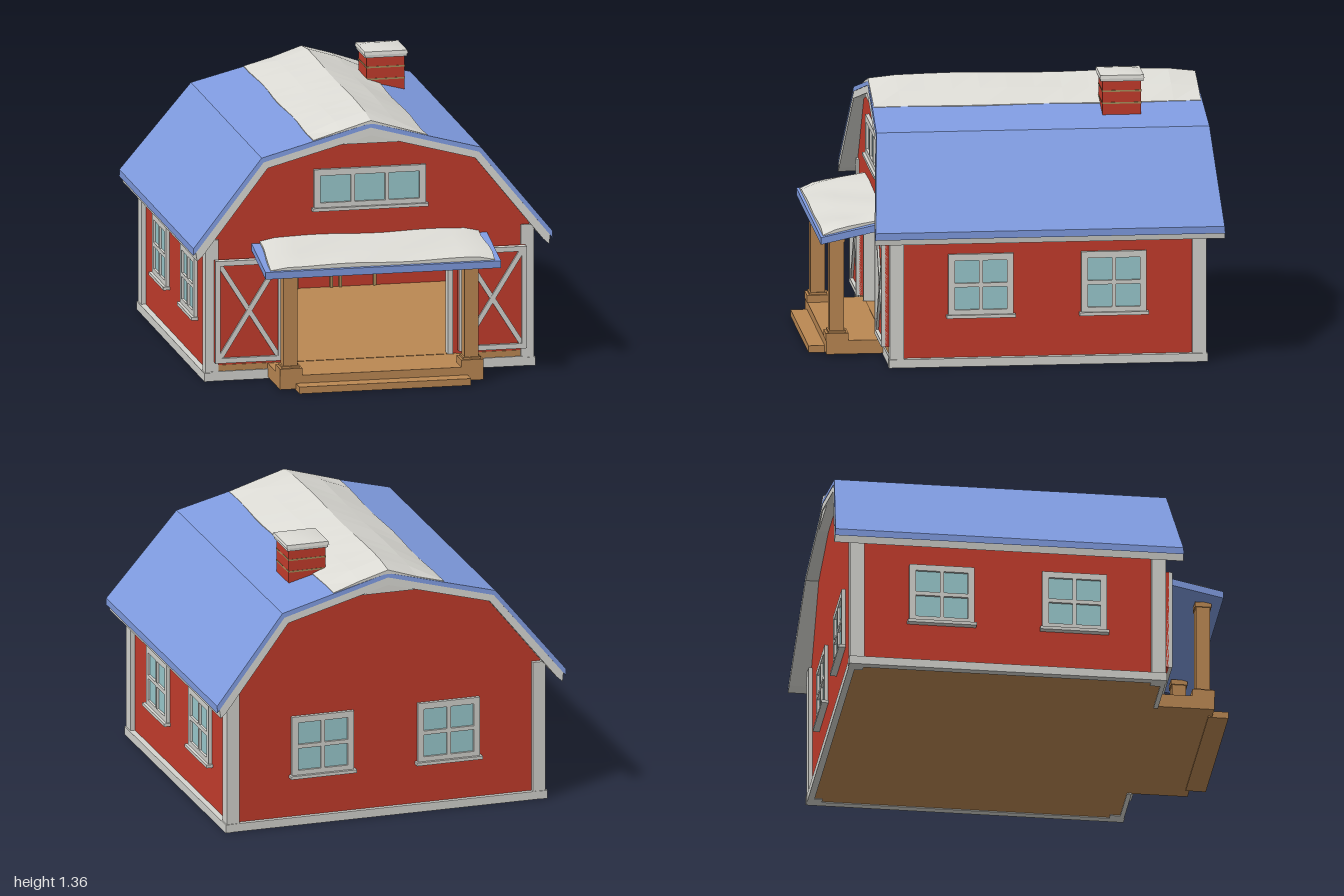
import * as THREE from 'three';

const mat = (name, color) => {
  const m = new THREE.MeshStandardMaterial({ color });
  m.name = name;
  return m;
};

export function createModel() {
  const red = mat('barn red', 0xc43c2c);
  const white = mat('trim white', 0xd4d4cf);
  const blue = mat('roof blue', 0x7f9be0);
  const snow = mat('snow', 0xdcdbd5);
  const wood = mat('wood', 0xbb8853);
  const glass = mat('window glass', 0x9acace);
  const mortar = mat('mortar', 0xa98f5c);

  const model = new THREE.Group();
  model.name = 'barn';

  const add = (name, geo, material, parent = model) => {
    const mesh = new THREE.Mesh(geo, material);
    mesh.name = name;
    parent.add(mesh);
    return mesh;
  };
  // Box given by its min and max on each axis
  const box = (name, m, x0, x1, y0, y1, z0, z1, parent = model) => {
    const mesh = add(name, new THREE.BoxGeometry(x1 - x0, y1 - y0, z1 - z0), m, parent);
    mesh.position.set((x0 + x1) / 2, (y0 + y1) / 2, (z0 + z1) / 2);
    return mesh;
  };
  const shapeOf = (pts) => new THREE.Shape(pts.map(([x, y]) => new THREE.Vector2(x, y)));
  const rect = (x0, x1, y0, y1) => shapeOf([[x0, y0], [x1, y0], [x1, y1], [x0, y1]]);
  const extrude = (shape, depth, steps = 1) =>
    new THREE.ExtrudeGeometry(shape, { depth, steps, bevelEnabled: false });
  const mirror = (pts) => pts.map(([x, y]) => [-x, y]).reverse();
  const eachVertex = (geo, fn) => {
    const p = geo.attributes.position, v = new THREE.Vector3();
    for (let i = 0; i < p.count; i++) {
      fn(v.fromBufferAttribute(p, i));
      p.setXYZ(i, v.x, v.y, v.z);
    }
    geo.computeVertexNormals();
    return geo;
  };

  // Floor and walls
  box('floorBase', wood, -0.8, 0.8, 0.005, 0.04, -0.9, 0.63);
  box('floor', wood, -0.76, 0.76, 0.04, 0.078, -0.87, 0.634);
  const half = [[0.8, 0.04], [0.8, 0.72], [0.52, 1.075]];
  const gable = () => shapeOf([...half, [0, 1.215], ...mirror(half)]);
  const frontShape = gable();
  frontShape.holes.push(rect(-0.4, 0.4, 0.07, 0.575));
  add('frontWall', extrude(frontShape, 0.03), red).position.z = 0.6;
  add('backWall', extrude(gable(), 0.03), red).position.z = -0.9;
  for (const s of [1, -1]) {
    box('sideWall', red, s * 0.785 - 0.015, s * 0.785 + 0.015, 0.04, 0.7, -0.87, 0.6);
    // Corner boards and base boards
    for (const [z0, z1] of [[0.57, 0.64], [-0.92, -0.85]]) {
      box('cornerBoard', white, s * 0.79 - 0.033, s * 0.79 + 0.033, 0, 0.71, z0, z1);
    }
    box('sideBaseBoard', white, s * 0.81 - 0.02, s * 0.81 + 0.02, 0, 0.042, -0.925, 0.645);
    box('frontBaseBoard', white, s * 0.65 - 0.15, s * 0.65 + 0.15, 0, 0.048, 0.62, 0.642);
    box('doorJamb', white, s * 0.403 - 0.012, s * 0.403 + 0.012, 0.078, 0.575, 0.59, 0.645);
  }
  box('backBaseBoard', white, -0.8, 0.8, 0, 0.042, -0.922, -0.89);
  box('doorHeader', white, -0.415, 0.415, 0.572, 0.597, 0.59, 0.645);

  // Window with a grid of panes, seen from both faces of its wall
  const makeWindow = (name, w, h, cols, rows, x, y, z, turn) => {
    const g = new THREE.Group();
    g.name = name;
    const border = 0.032, bar = 0.02;
    const pw = (w - 2 * border - (cols - 1) * bar) / cols;
    const ph = (h - 2 * border - (rows - 1) * bar) / rows;
    const frame = rect(-w / 2, w / 2, -h / 2, h / 2);
    for (let i = 0; i < cols; i++) for (let j = 0; j < rows; j++) {
      const px = -w / 2 + border + i * (pw + bar), py = -h / 2 + border + j * (ph + bar);
      frame.holes.push(rect(px, px + pw, py, py + ph));
    }
    add('windowFrame', extrude(frame, 0.066), white, g).position.z = -0.033;
    box('windowGlass', glass, -w / 2 + 0.02, w / 2 - 0.02, -h / 2 + 0.02, h / 2 - 0.02, -0.021, 0.021, g);
    box('windowSill', white, -w / 2 - 0.01, w / 2 + 0.01, -h / 2 - 0.008, -h / 2 + 0.008, 0, 0.048, g);
    g.position.set(x, y, z);
    g.rotation.y = turn;
    model.add(g);
  };
  for (const s of [1, -1]) {
    for (const z of [0.19, -0.465]) makeWindow('sideWindow', 0.32, 0.31, 2, 2, s * 0.785, 0.405, z, s * Math.PI / 2);
    makeWindow('backWindow', 0.32, 0.31, 2, 2, s * 0.325, 0.405, -0.885, Math.PI);
  }
  makeWindow('gableWindow', 0.56, 0.2, 3, 1, 0, 0.94, 0.615, 0);

  // Open barn doors with crossed braces
  for (const s of [1, -1]) {
    const door = new THREE.Group();
    door.name = 'barnDoor';
    const w = 0.17, h = 0.257, t = 0.025;
    box('doorPanel', red, -w, w, -h, h, -0.012, 0.008, door);
    const frame = rect(-w, w, -h, h);
    frame.holes.push(rect(-w + t, w - t, -h + t, h - t));
    add('doorFrame', extrude(frame, 0.03), white, door).position.z = -0.005;
    const a = Math.atan2(h - t, w - t), len = 2 * Math.hypot(w - t, h - t);
    for (const d of [1, -1]) {
      const brace = add('doorBrace', new THREE.BoxGeometry(len, 0.024, 0.014), white, door);
      brace.position.z = 0.012 + d * 0.001;
      brace.rotation.z = d * a;
    }
    door.position.set(s * 0.61, 0.353, 0.652);
    model.add(door);
  }

  // Gambrel roof, with gable ends raked outward towards the eaves
  const midZ = -0.1425;
  const reach = (y) => (y > 1.12 ? 0.82 - (y - 1.12) * 0.1 : 0.82 + (1.12 - y) * 0.091);
  const roofLayer = (name, m, right, grow) => {
    const [outer, inner] = right;
    const pts = [...outer, ...mirror(outer).slice(1), ...mirror(inner), ...inner.slice(0, -1).reverse()];
    // The outline runs up and over the outside, then back along the underside
    const loop = [...outer.slice(0, -1), outer.at(-1), ...outer.slice(0, -1).reverse().map(([x, y]) => [-x, y]),
      ...inner.slice(0, -1).map(([x, y]) => [-x, y]), inner.at(-1), ...inner.slice(0, -1).reverse()];
    const geo = extrude(shapeOf(pts.length ? loop : pts), 1);
    add(name, eachVertex(geo, (v) => { v.z = midZ + (v.z > 0.5 ? 1 : -1) * (reach(v.y) + grow); }), m);
  };
  roofLayer('roofShingles', blue, [
    [[0.9, 0.69], [0.55, 1.12], [0, 1.265]],
    [[0.9, 0.655], [0.883, 0.676], [0.54, 1.098], [0, 1.243]]], 0);
  roofLayer('roofTrim', white, [
    [[0.888, 0.67], [0.54, 1.098], [0, 1.243]],
    [[0.882, 0.626], [0.853, 0.652], [0.52, 1.068], [0, 1.205]]], -0.002);

  // Snow along the ridge
  const drift = [[0.285, 1.165], [0.285, 1.193], [0.15, 1.247]];
  const ridgeSnow = extrude(shapeOf([...drift, [0, 1.295], ...mirror(drift)]), 1.612, 12);
  add('ridgeSnow', eachVertex(ridgeSnow, (v) => {
    v.z += midZ - 0.806;
    const end = Math.abs(v.z - midZ) > 0.8;
    if (v.y > 1.2) v.y += 0.004 * Math.sin(v.z * 7 + v.x * 9) - (end ? 0.012 : 0);
    else v.x += 0.005 * Math.sin(v.z * 9);
  }), snow);

  // Chimney with mortar lines and a snowy cap
  box('chimney', red, 0.22, 0.41, 1.1, 1.33, -0.64, -0.45);
  for (const y of [1.215, 1.275]) box('mortarLine', mortar, 0.218, 0.412, y - 0.004, y + 0.004, -0.642, -0.448);
  box('chimneyCap', white, 0.21, 0.42, 1.325, 1.343, -0.65, -0.44);
  const capSnow = new THREE.BoxGeometry(0.22, 0.024, 0.22, 4, 1, 4);
  add('chimneySnow', eachVertex(capSnow, (v) => {
    if (v.y > 0 && Math.max(Math.abs(v.x), Math.abs(v.z)) > 0.1) { v.y -= 0.008; v.x *= 0.97; v.z *= 0.97; }
  }), snow).position.set(0.315, 1.352, -0.545);

  // Porch deck, step and posts
  box('porchDeck', wood, -0.51, 0.51, 0.008, 0.076, 0.6, 0.92);
  box('porchStep', wood, -0.43, 0.43, 0.002, 0.036, 0.9, 1.0);
  for (const s of [1, -1]) {
    const post = (name, w, y0, y1) =>
      box(name, wood, s * 0.454 - w, s * 0.454 + w, y0, y1, 0.867 - w, 0.867 + w);
    post('postBase', 0.056, 0.076, 0.112);
    post('postFoot', 0.044, 0.112, 0.122);
    post('porchPost', 0.035, 0.12, 0.59);
    post('postCap', 0.041, 0.567, 0.592);
  }

  // Sloping porch roof and its snow
  const slope = (z) => 0.61 + (0.955 - z) * 0.215;
  const porchRoof = new THREE.BoxGeometry(1.18, 0.035, 0.335);
  add('porchRoof', eachVertex(porchRoof, (v) => {
    v.z += 0.7875;
    v.y += slope(v.z) - 0.0175;
  }), blue);
  const porchSnow = new THREE.BoxGeometry(1.11, 0.04, 0.315, 14, 1, 5);
  add('porchSnow', eachVertex(porchSnow, (v) => {
    const edge = Math.abs(v.x) > 0.54, lip = v.z > 0.15;
    const top = v.y > 0;
    if (edge) v.x += Math.sign(v.x) * 0.008 * Math.sin(v.z * 14);
    v.z += 0.785;
    v.y = slope(v.z) + (top ? 0.028 + 0.004 * Math.sin(v.x * 11 + v.z * 17) - (edge ? 0.014 : 0) - (lip ? 0.01 : 0) : -0.005);
  }), snow);

  // Row of low frames along the inside of the back wall
  for (let i = 0; i < 4; i++) {
    const x = -0.388 + i * 0.217;
    box('lowFrameTop', mortar, x - 0.096, x + 0.096, 0.143, 0.155, -0.87, -0.855);
    for (const s of [1, -1]) box('lowFrameLeg', mortar, x + s * 0.086 - 0.007, x + s * 0.086 + 0.007, 0.078, 0.143, -0.87, -0.855);
  }

  return model;
}
